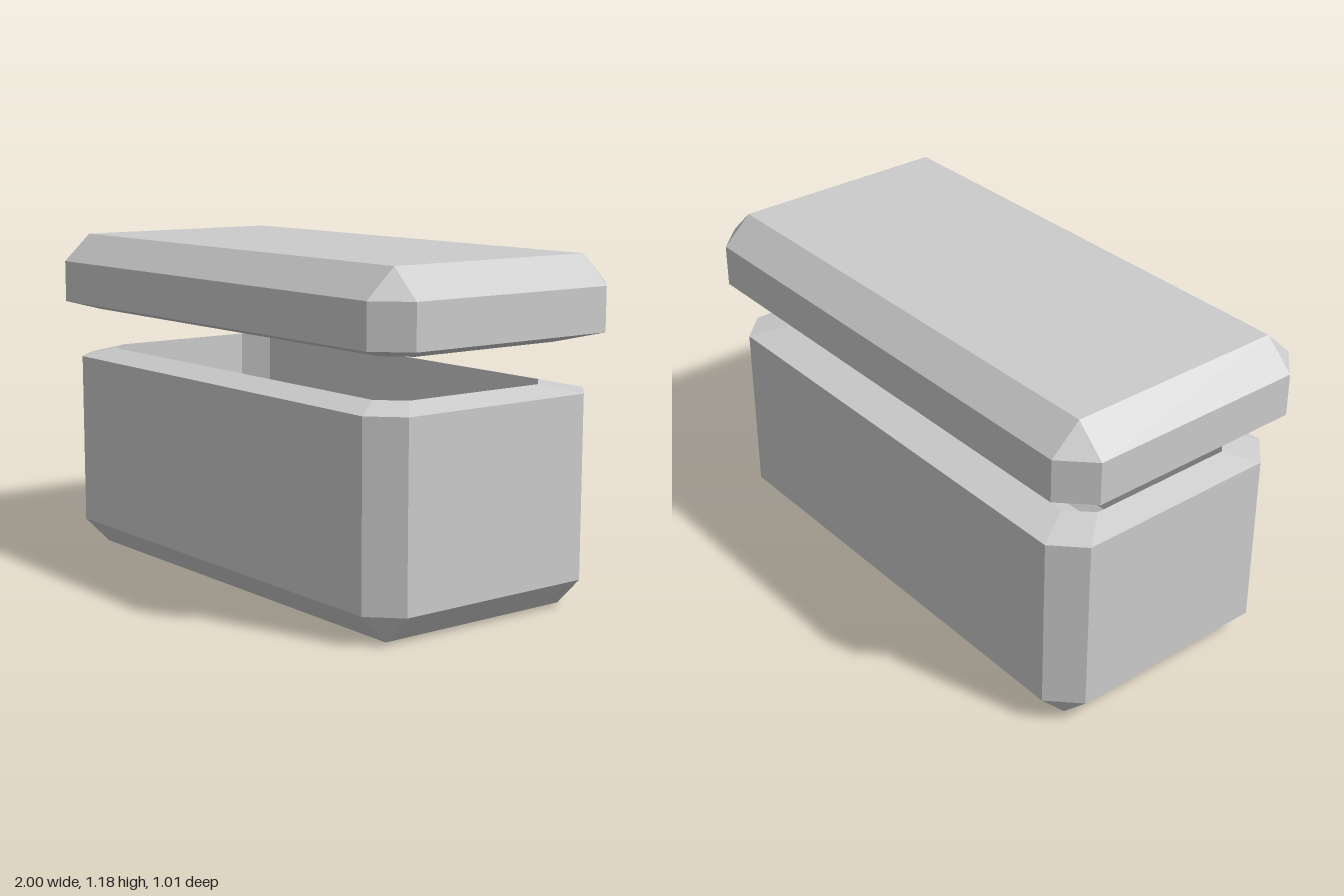
import * as THREE from 'three';

// Rectangle with cut corners at height y, counter-clockwise seen from above
function ring(y, hx, zFront, zBack, cut) {
  return [
    [hx, zFront - cut], [hx, zBack + cut], [hx - cut, zBack], [cut - hx, zBack],
    [-hx, zBack + cut], [-hx, zFront - cut], [cut - hx, zFront], [hx - cut, zFront],
  ].map(([x, z]) => new THREE.Vector3(x, y, z));
}

// Skin the rings in order and close both ends
function loft(name, rings, material) {
  const positions = [];
  const face = (a, b, c) => {
    if (new THREE.Triangle(a, b, c).getArea() < 1e-7) return; // cut of zero width
    for (const p of [a, b, c]) positions.push(p.x, p.y, p.z);
  };
  const last = rings.length - 1;
  for (let i = 0; i < last; i++) {
    for (let j = 0; j < 8; j++) {
      const k = (j + 1) % 8;
      face(rings[i][j], rings[i][k], rings[i + 1][k]);
      face(rings[i][j], rings[i + 1][k], rings[i + 1][j]);
    }
  }
  for (let j = 1; j < 7; j++) {
    face(rings[0][0], rings[0][j + 1], rings[0][j]);
    face(rings[last][0], rings[last][j], rings[last][j + 1]);
  }
  const geometry = new THREE.BufferGeometry();
  geometry.setAttribute('position', new THREE.Float32BufferAttribute(positions, 3));
  geometry.computeVertexNormals();
  const mesh = new THREE.Mesh(geometry, material);
  mesh.name = name;
  return mesh;
}

export function createModel() {
  const group = new THREE.Group();
  group.name = 'chest';
  const material = new THREE.MeshStandardMaterial({ color: 0xcccccc, flatShading: true });

  // Open box: up the outside, over the sloping rim, down to the inner floor
  group.add(loft('box', [
    ring(0, 0.837, 0.375, -0.375, 0),
    ring(0.1, 0.937, 0.473, -0.473, 0.1),
    ring(0.725, 0.937, 0.473, -0.473, 0.1),
    ring(0.755, 0.84, 0.37, -0.34, 0.08),
    ring(0.14, 0.84, 0.37, -0.34, 0.08),
    ring(0.1, 0.8, 0.33, -0.3, 0.04),
  ], material));

  // Floating lid: from the hollow underside, around the rim, up to the top
  group.add(loft('lid', [
    ring(1.08, 0.86, 0.36, -0.31, 0.04),
    ring(1.04, 0.9, 0.4, -0.35, 0.08),
    ring(0.9, 0.9, 0.4, -0.35, 0.08),
    ring(0.93, 1, 0.505, -0.505, 0.105),
    ring(1.08, 1, 0.505, -0.505, 0.105),
    ring(1.178, 0.895, 0.4, -0.4, 0),
  ], material));

  return group;
}
